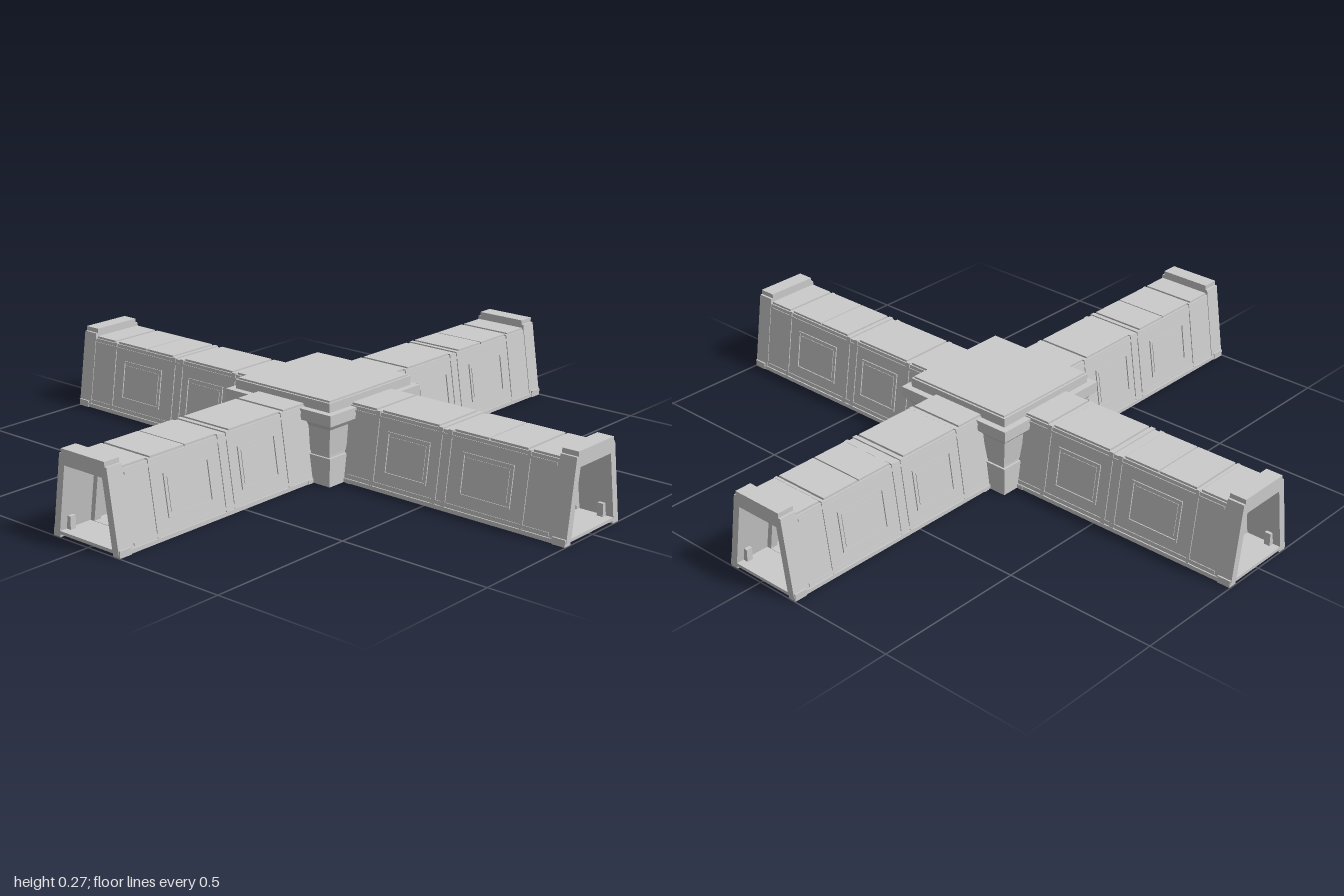
import * as THREE from 'three';

const grey = new THREE.MeshStandardMaterial({ color: 0xcccccc });

function add(parent, name, geometry, x = 0, y = 0, z = 0) {
  const mesh = new THREE.Mesh(geometry, grey);
  mesh.name = name;
  mesh.position.set(x, y, z);
  parent.add(mesh);
  return mesh;
}

// box given by its minimum and maximum corners
function block(parent, name, [x0, y0, z0], [x1, y1, z1]) {
  return add(parent, name, new THREE.BoxGeometry(x1 - x0, y1 - y0, z1 - z0),
    (x0 + x1) / 2, (y0 + y1) / 2, (z0 + z1) / 2);
}

const SLOPE = 0.036 / 0.24;
const halfWidth = y => 0.132 - SLOPE * y;

// sloped-sided tunnel section: [half width offset, bottom, top]
function section([grow, y0, y1], Type = THREE.Shape) {
  const b = halfWidth(y0) + grow, t = halfWidth(y1) + grow;
  const s = new Type();
  s.moveTo(-b, y0);
  s.lineTo(b, y0);
  s.lineTo(t, y1);
  s.lineTo(-t, y1);
  s.closePath();
  return s;
}

function tunnel(parent, name, outer, inner, z0, z1) {
  const shape = section(outer);
  shape.holes.push(section(inner, THREE.Path));
  const g = new THREE.ExtrudeGeometry(shape, { depth: z1 - z0, bevelEnabled: false });
  return add(parent, name, g, 0, 0, z0);
}

// rectangular frame lying on a side wall, in (along, up) coordinates
function panelFrame(z0, z1, y0, y1, border, depth) {
  const rect = (T, m) => {
    const p = new T();
    p.moveTo(z0 + m, y0 + m);
    p.lineTo(z1 - m, y0 + m);
    p.lineTo(z1 - m, y1 - m);
    p.lineTo(z0 + m, y1 - m);
    p.closePath();
    return p;
  };
  const s = rect(THREE.Shape, 0);
  s.holes.push(rect(THREE.Path, border));
  return new THREE.ExtrudeGeometry(s, { depth, bevelEnabled: false }).rotateY(-Math.PI / 2);
}

function buildArm() {
  const arm = new THREE.Group();
  const hollow = [-0.022, 0.02, 0.222];
  tunnel(arm, 'corridorShell', [0, 0.01, 0.238], hollow, 0.12, 0.995);

  // outer ribs and the raised roof plates between them
  const ribs = [[0.29, 0.305], [0.525, 0.54], [0.56, 0.575], [0.84, 0.85]];
  for (const [a, b] of ribs) tunnel(arm, 'outerRib', [0.003, 0.01, 0.242], hollow, a, b);
  const plates = [[0.19, 0.286], [0.309, 0.521], [0.579, 0.7], [0.704, 0.836], [0.854, 0.942]];
  for (const [a, b] of plates) block(arm, 'roofPlate', [-0.092, 0.236, a], [0.092, 0.245, b]);

  // raised collar round the open end
  tunnel(arm, 'endCollar', [0.002, 0.01, 0.255], hollow, 0.945, 1);
  block(arm, 'endCollarCap', [-0.088, 0.25, 0.945], [0.088, 0.27, 1]);

  // frames inside the corridor and the ceiling strip
  for (const z of [0.2, 0.42, 0.64, 0.86])
    tunnel(arm, 'innerFrame', [-0.015, 0.015, 0.23], [-0.038, 0.021, 0.213], z, z + 0.025);
  block(arm, 'ceilingStrip', [-0.03, 0.204, 0.22], [0.03, 0.224, 0.95]);

  for (const s of [-1, 1]) {
    // wall panels lie in a frame tilted with the wall
    const wall = new THREE.Group();
    wall.name = s < 0 ? 'wallPanelsA' : 'wallPanelsB';
    wall.position.x = s * 0.132;
    wall.rotation.z = s * Math.atan(SLOPE);
    arm.add(wall);
    for (const [a, b] of [[0.34, 0.5], [0.62, 0.8]]) {
      const f = add(wall, 'panelFrame', panelFrame(a, b, 0.06, 0.19, 0.006, 0.004));
      f.position.x = s > 0 ? 0.004 : 0;
      block(wall, 'panel', [-0.002, 0.074, a + 0.014], [0.002, 0.176, b - 0.014]);
    }
    block(wall, 'topTrim', [-0.003, 0.222, 0.2], [0.003, 0.23, 0.94]);
    block(wall, 'bottomTrim', [-0.003, 0.018, 0.2], [0.003, 0.028, 0.94]);

    // floor edge rails, end feet and hub brackets
    const x = s * 0.122;
    block(arm, 'floorRail', [x - 0.012, 0.001, 0.14], [x + 0.012, 0.014, 0.99]);
    block(arm, 'endFoot', [x - 0.014, 0, 0.955], [x + 0.014, 0.022, 0.998]);
    block(arm, 'innerPost', [s * 0.098 - 0.008, 0.02, 0.955], [s * 0.098 + 0.008, 0.06, 0.975]);
    block(arm, 'hubBracket', [s * 0.1 - 0.035, 0, 0.17], [s * 0.1 + 0.035, 0.012, 0.19]);
    block(arm, 'hubBracket', [s * 0.1 - 0.035, 0, 0.2], [s * 0.1 + 0.035, 0.012, 0.22]);
    block(arm, 'bracketLink', [s * 0.1 - 0.012, 0, 0.19], [s * 0.1 + 0.012, 0.011, 0.2]);
  }
  return arm;
}

// square prism whose outer corner widens from bottom to top
function flare(bottom, top, height) {
  const g = new THREE.BoxGeometry(1, height, 1);
  const p = g.attributes.position;
  for (let i = 0; i < p.count; i++) {
    const outer = p.getY(i) > 0 ? top : bottom;
    p.setX(i, p.getX(i) > 0 ? outer : 0.112);
    p.setZ(i, p.getZ(i) > 0 ? outer : 0.112);
  }
  g.computeVertexNormals();
  return g;
}

function buildCorner() {
  const c = new THREE.Group();
  add(c, 'columnBase', flare(0.195, 0.195, 0.09), 0, 0.045, 0);
  add(c, 'columnWaist', flare(0.188, 0.188, 0.014), 0, 0.095, 0);
  add(c, 'columnShaft', flare(0.19, 0.197, 0.085), 0, 0.142, 0);
  add(c, 'columnHead', flare(0.197, 0.21, 0.02), 0, 0.192, 0);
  block(c, 'cornerLedge', [0.09, 0.2, 0.09], [0.215, 0.235, 0.215]);
  return c;
}

export function createModel() {
  const model = new THREE.Group();
  model.name = 'crossCorridor';

  const names = ['frontArm', 'leftArm', 'backArm', 'rightArm'];
  for (let i = 0; i < 4; i++) {
    const arm = buildArm();
    arm.name = names[i];
    arm.rotation.y = i * Math.PI / 2;
    if (i % 2) arm.position.z = -0.008;
    model.add(arm);

    const corner = buildCorner();
    corner.name = 'hubCorner';
    corner.rotation.y = i * Math.PI / 2;
    corner.position.set(-0.002, 0, -0.004);
    model.add(corner);
  }

  // hub roof and floor
  const hub = new THREE.Group();
  hub.name = 'hub';
  hub.position.set(-0.002, 0, -0.004);
  block(hub, 'hubRoof', [-0.193, 0.223, -0.193], [0.193, 0.264, 0.193]);
  block(hub, 'hubRoofPlate', [-0.187, 0.26, -0.187], [0.187, 0.27, 0.187]);
  block(hub, 'hubFloor', [-0.125, 0.009, -0.125], [0.125, 0.019, 0.125]);
  block(hub, 'hubCeilingLight', [-0.05, 0.21, -0.05], [0.05, 0.224, 0.05]);
  model.add(hub);
  return model;
}
